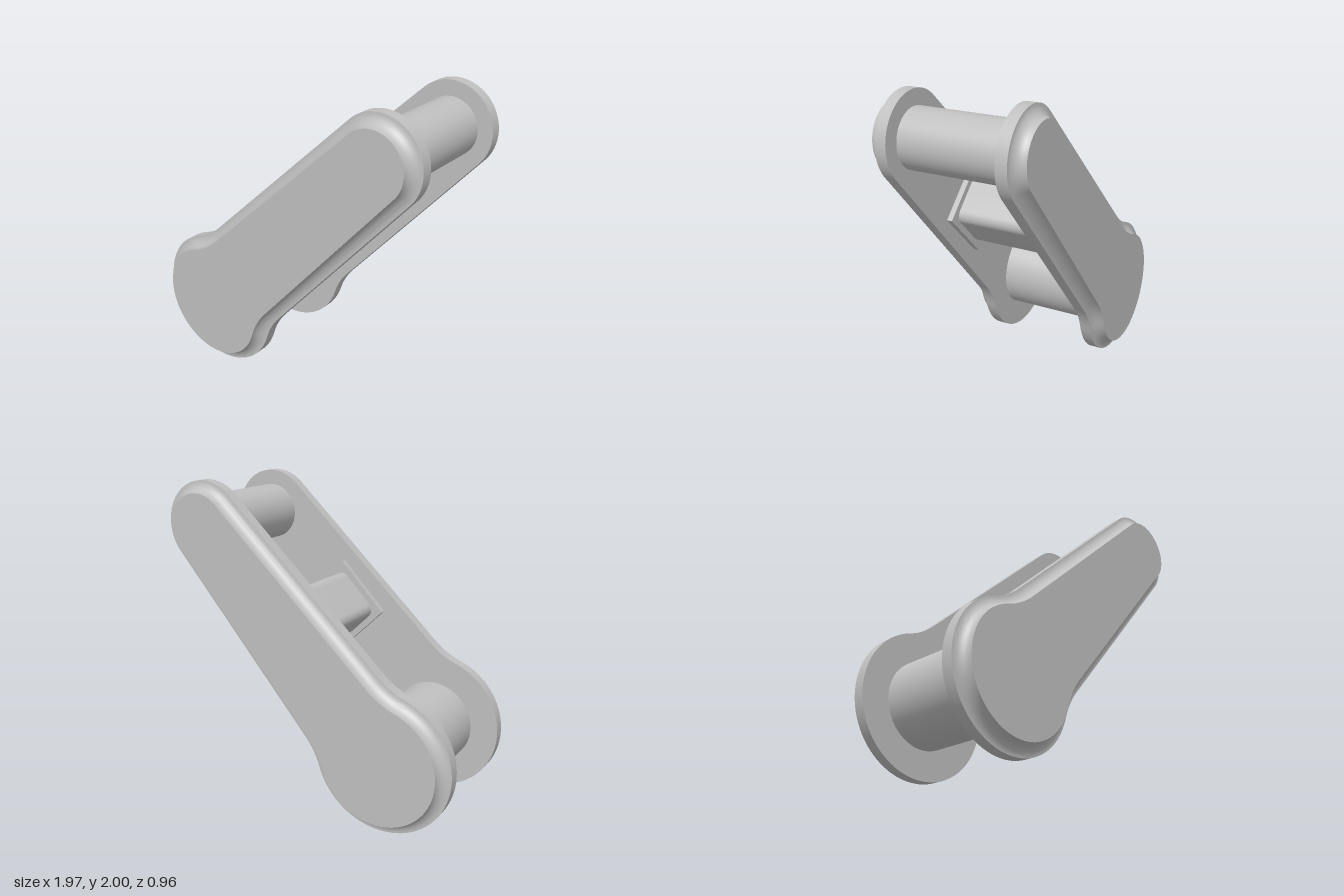
import * as THREE from 'three';
import { toCreasedNormals } from 'three/addons/utils/BufferGeometryUtils.js';

// Link layout, measured along its own axis (x = from large end to small end)
const BIG = new THREE.Vector2(-0.533, 0.445), SMALL = new THREE.Vector2(0.705, 1.728);
const LENGTH = BIG.distanceTo(SMALL);
const R_BIG = 0.445, R_SMALL = 0.272, R_NECK = 0.5;
const TAPER = THREE.MathUtils.degToRad(3);
const Z_IN = 0.325, Z_EDGE = 0.395, Z_OUT = 0.465;

// Keyhole-like outline, moved inwards by inset; always the same point count
function outline(inset) {
  const half = [];
  const arc = (cx, cy, r, a0, a1, n) => {
    for (let i = 0; i <= n; i++) {
      const a = a0 + (a1 - a0) * i / n;
      half.push(new THREE.Vector2(cx + r * Math.cos(a), cy + r * Math.sin(a)));
    }
  };
  const normal = Math.PI / 2 - TAPER;
  const sideDist = R_SMALL + LENGTH * Math.sin(TAPER);
  const join = normal - Math.acos((sideDist + R_NECK) / (R_BIG + R_NECK));
  const neck = R_BIG + R_NECK;
  arc(LENGTH, 0, R_SMALL - inset, 0, normal, 20);
  arc(neck * Math.cos(join), neck * Math.sin(join), R_NECK + inset, normal + Math.PI, join + Math.PI, 10);
  half.pop();
  arc(0, 0, R_BIG - inset, join, Math.PI, 28);
  const mirrored = half.slice(1, -1).reverse().map(p => new THREE.Vector2(p.x, -p.y));
  return half.concat(mirrored);
}

// Side plate: straight rim, concave cove, flat outer face
function plateGeometry() {
  const profile = [[0, Z_IN], [0, Z_EDGE]];
  const cove = Z_OUT - Z_EDGE, steps = 10;
  for (let i = 1; i <= steps; i++) {
    const a = i / steps * Math.PI / 2;
    profile.push([cove * Math.sin(a), Z_OUT - cove * Math.cos(a)]);
  }
  const rings = profile.map(([inset]) => outline(inset));
  const n = rings[0].length, positions = [], index = [];
  rings.forEach((ring, j) => ring.forEach(p => positions.push(p.x, p.y, profile[j][1])));
  for (let j = 0; j < rings.length - 1; j++) {
    for (let i = 0; i < n; i++) {
      const k = (i + 1) % n, lo = j * n, hi = lo + n;
      index.push(lo + i, lo + k, hi + k, lo + i, hi + k, hi + i);
    }
  }
  const last = (rings.length - 1) * n;
  for (const [a, b, c] of THREE.ShapeUtils.triangulateShape(rings[0], [])) index.push(a, c, b);
  for (const [a, b, c] of THREE.ShapeUtils.triangulateShape(rings[rings.length - 1], [])) {
    index.push(last + a, last + b, last + c);
  }
  const geo = new THREE.BufferGeometry();
  geo.setAttribute('position', new THREE.Float32BufferAttribute(positions, 3));
  geo.setIndex(index);
  return toCreasedNormals(geo, Math.PI / 6);
}

// Square bar with rounded long edges, centred on z = 0
function barGeometry(side, radius, depth) {
  const h = side / 2, c = h - radius, s = new THREE.Shape();
  [[c, c], [-c, c], [-c, -c], [c, -c]].forEach(([x, y], i) =>
    s.absarc(x, y, radius, i * Math.PI / 2, (i + 1) * Math.PI / 2, false));
  s.closePath();
  const geo = new THREE.ExtrudeGeometry(s, { depth, bevelEnabled: false, curveSegments: 8 });
  geo.translate(0, 0, -depth / 2);
  return toCreasedNormals(geo, Math.PI / 6);
}

export function createModel() {
  const grey = new THREE.MeshStandardMaterial({ color: 0xbfbfbf });
  grey.name = 'grey';
  const model = new THREE.Group();
  model.name = 'link';
  const link = new THREE.Group();
  link.name = 'linkBody';
  const add = (name, geo, x = 0, z = 0) => {
    const mesh = new THREE.Mesh(geo, grey);
    mesh.name = name;
    mesh.position.set(x, 0, z);
    link.add(mesh);
    return mesh;
  };

  // Two facing side plates
  const plate = plateGeometry();
  add('frontPlate', plate);
  add('backPlate', plate).rotation.x = Math.PI;

  // Round pins at both ends
  const pin = r => new THREE.CylinderGeometry(r, r, Z_IN * 2, 64).rotateX(Math.PI / 2);
  add('largePin', pin(0.267));
  add('smallPin', pin(0.178), LENGTH);

  // Square spacer bar with a thin flange against each plate
  const barX = 0.968, flange = 0.035;
  add('spacerBar', barGeometry(0.351, 0.06, Z_IN * 2), barX);
  for (const side of [1, -1]) {
    add(side > 0 ? 'frontFlange' : 'backFlange',
      new THREE.BoxGeometry(0.428, 0.428, flange), barX, side * (Z_IN - flange / 2));
  }

  // Lean the link diagonally, with a slight turn about the vertical
  link.position.set(BIG.x, BIG.y, 0);
  link.rotation.z = Math.atan2(SMALL.y - BIG.y, SMALL.x - BIG.x);
  const turn = new THREE.Group();
  turn.name = 'turnedLink';
  turn.rotation.y = -0.017;
  turn.add(link);
  model.add(turn);
  return model;
}
